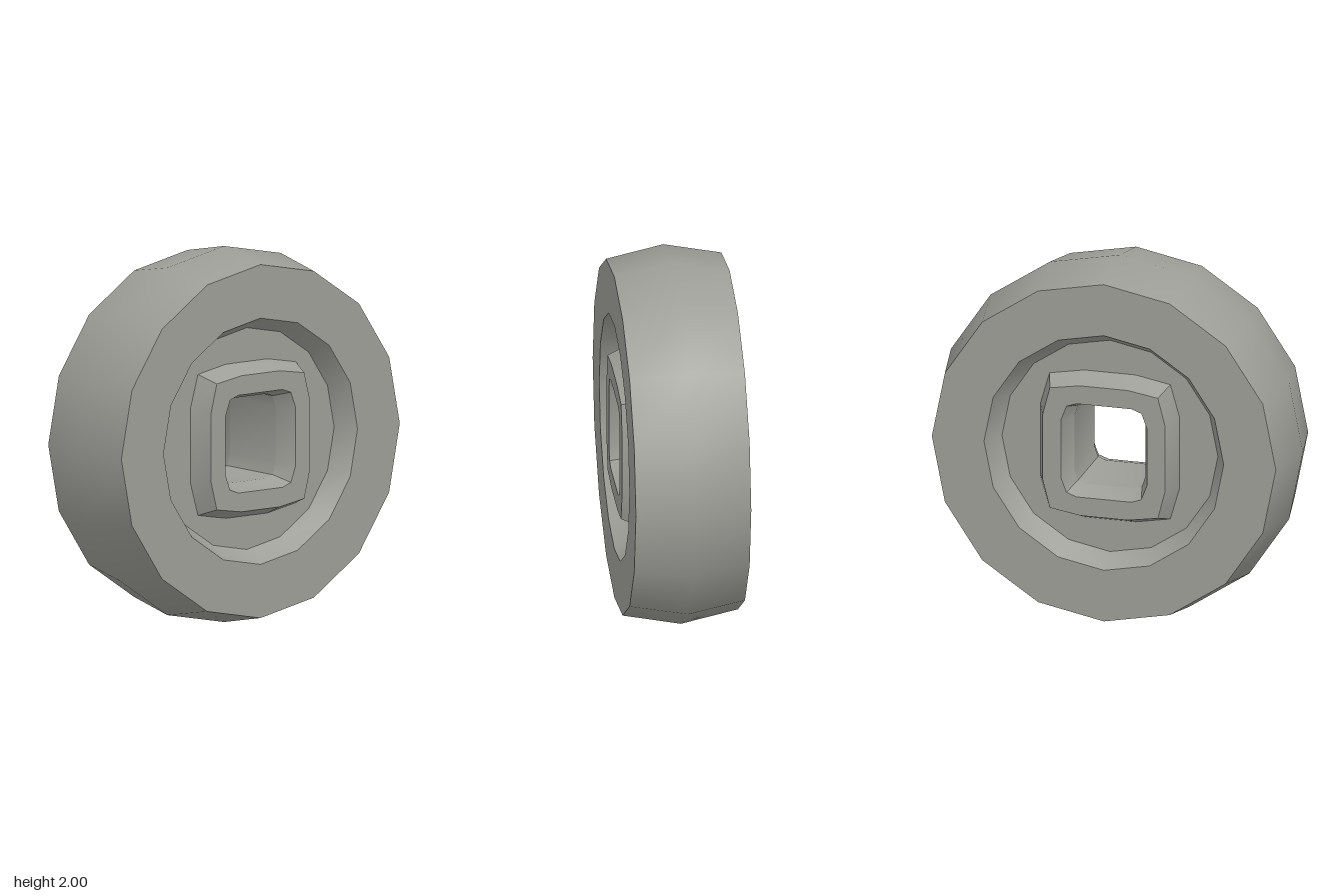
import * as THREE from 'three';
import { toCreasedNormals } from 'three/addons/utils/BufferGeometryUtils.js';

const FACE = 0.305, FLOOR = 0.19, CREASE = 0.6;

// Regular 16-sided outline
function circle(r) {
  return Array.from({ length: 16 }, (_, i) => {
    const a = (i * Math.PI) / 8;
    return new THREE.Vector2(r * Math.cos(a), r * Math.sin(a));
  });
}

// Bulging square: three points of one quadrant, mirrored to all four
function squarish(side, corner, top) {
  const q = [side, corner, top];
  const pts = [];
  for (const [sx, sy] of [[1, 1], [-1, 1], [-1, -1], [1, -1]]) {
    const list = sx * sy > 0 ? q : [...q].reverse();
    for (const [x, y] of list) pts.push(new THREE.Vector2(x * sx, y * sy));
  }
  return pts;
}

// Skin through cross-sections given as [outline, z]
function loft(sections) {
  const pos = [], idx = [];
  const n = sections[0][0].length;
  for (const [pts, z] of sections) for (const p of pts) pos.push(p.x, p.y, z);
  for (let s = 0; s < sections.length - 1; s++) {
    for (let i = 0; i < n; i++) {
      const j = (i + 1) % n, a = s * n, b = a + n;
      idx.push(a + i, b + i, b + j, a + i, b + j, a + j);
    }
  }
  const g = new THREE.BufferGeometry();
  g.setAttribute('position', new THREE.Float32BufferAttribute(pos, 3));
  g.setIndex(idx);
  return toCreasedNormals(g, CREASE);
}

export function createModel() {
  const grey = new THREE.MeshStandardMaterial({ color: 0x9e9e98 });
  grey.name = 'wheel grey';

  const model = new THREE.Group();
  model.name = 'wheel';
  const add = (parent, name, geometry) => {
    const mesh = new THREE.Mesh(geometry, grey);
    mesh.name = name;
    parent.add(mesh);
    return mesh;
  };

  // Outlines from the tread inwards
  const ridge = circle(1), rim = circle(0.94);
  const recessLip = circle(0.655), recessBase = circle(0.59);
  const hubBase = squarish([0.38, 0.2], [0.33, 0.375], [0.14, 0.41]);
  const hubTop = squarish([0.335, 0.18], [0.295, 0.335], [0.13, 0.362]);
  const holeLip = squarish([0.235, 0.16], [0.205, 0.24], [0.15, 0.26]);
  const holeWall = squarish([0.195, 0.15], [0.175, 0.21], [0.135, 0.225]);

  // Tread and straight bore
  add(model, 'tread', loft([[rim, FACE], [ridge, 0], [rim, -FACE]]));
  add(model, 'axleHole', loft([[holeWall, -FLOOR], [holeWall, FLOOR]]));

  // Recessed disc around the hub
  const disc = new THREE.Shape(recessBase);
  disc.holes.push(new THREE.Path(hubBase));

  // Two identical sides
  for (const [name, turn] of [['frontSide', 0], ['backSide', Math.PI]]) {
    const side = new THREE.Group();
    side.name = name;
    side.rotation.y = turn;
    add(side, 'sidewall', loft([[recessLip, FACE], [rim, FACE]]));
    add(side, 'recessWall', loft([[recessBase, FLOOR], [recessLip, FACE]]));
    add(side, 'recessFloor', new THREE.ShapeGeometry(disc)).position.z = FLOOR;
    add(side, 'hubWall', loft([[hubTop, FACE], [hubBase, FLOOR]]));
    add(side, 'hubFace', loft([[holeLip, FACE], [hubTop, FACE]]));
    add(side, 'holeBevel', loft([[holeWall, FLOOR], [holeLip, FACE]]));
    model.add(side);
  }

  // Stand the wheel on the ground
  for (const part of model.children) part.position.y = 1;
  return model;
}
